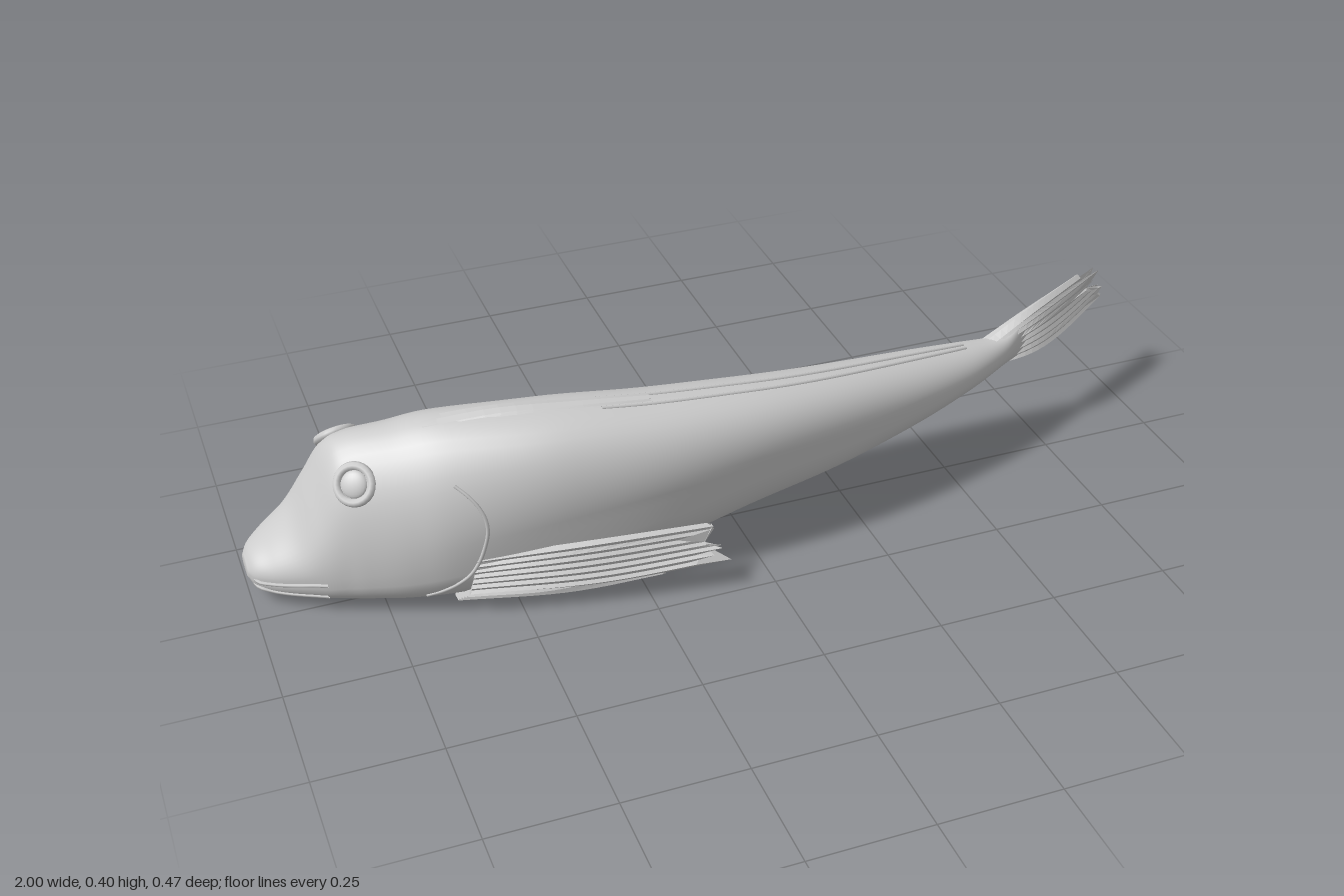
import * as THREE from 'three';

const V = (x, y, z) => new THREE.Vector3(x, y, z);
const smooth = new THREE.MeshStandardMaterial({ color: 0xcccccc, side: THREE.DoubleSide });
const faceted = new THREE.MeshStandardMaterial({ color: 0xcccccc, flatShading: true, side: THREE.DoubleSide });

// body stations: x, bottom, top, right edge z, left edge z, height fraction of the widest line
const stations = [
  [-1.0, 0.05, 0.08, -0.14, -0.08, 0.5], [-0.985, 0.028, 0.1, -0.172, -0.055, 0.5],
  [-0.95, 0.014, 0.125, -0.204, -0.025, 0.5], [-0.9, 0.009, 0.17, -0.225, 0.01, 0.45],
  [-0.86, 0.008, 0.245, -0.226, 0.035, 0.34], [-0.82, 0.007, 0.318, -0.222, 0.055, 0.29],
  [-0.78, 0.007, 0.345, -0.218, 0.075, 0.29], [-0.7, 0.006, 0.365, -0.205, 0.11, 0.32],
  [-0.6, 0.006, 0.388, -0.19, 0.14, 0.37], [-0.4, 0.01, 0.395, -0.155, 0.17, 0.45],
  [-0.2, 0.034, 0.382, -0.12, 0.18, 0.5], [0.0, 0.078, 0.365, -0.102, 0.165, 0.5],
  [0.2, 0.11, 0.338, -0.097, 0.13, 0.5], [0.4, 0.15, 0.305, -0.1, 0.075, 0.5],
  [0.55, 0.182, 0.28, -0.1, 0.018, 0.5], [0.65, 0.2, 0.268, -0.098, -0.035, 0.5],
  [0.72, 0.205, 0.285, -0.098, -0.076, 0.5], [0.8, 0.215, 0.28, -0.133, -0.12, 0.5],
];
const spline = (pts) => new THREE.CatmullRomCurve3(pts, false, 'catmullrom', 0.5);
const heights = spline(stations.map((s) => V(s[0], s[1], s[2])));
const widths = spline(stations.map((s) => V(s[5], s[3], s[4])));
const { lerp, smoothstep } = THREE.MathUtils;

// point on the skin; angle 0 = left flank, PI/2 = back, PI = right flank
function section(t, angle) {
  const { x, y: yb, z: yt } = heights.getPoint(t);
  const { x: k, y: z0, z: z1 } = widths.getPoint(t);
  const c = Math.cos(angle), s = Math.sin(angle);
  const ym = yb + k * (yt - yb);
  const lean = 0.04 * smoothstep(x, -0.8, -0.4) * (1 - smoothstep(x, 0, 0.6));
  // flat belly in front, rounder toward the tail; head narrows upward
  const belly = lerp(0.62, 0.9, smoothstep(x, -0.4, 0.1));
  const y = s > 0 ? ym + (yt - ym) * s : ym - (ym - yb) * Math.pow(-s, belly);
  const taper = s > 0 ? lerp(1.08, 0.92, smoothstep(x, -0.75, -0.4)) : 0.9;
  const across = Math.sign(c) * Math.pow(Math.abs(c), taper);
  return V(x, y, (z0 + z1) / 2 + ((z1 - z0) / 2) * across + lean * (s > 0 ? s : 0.3 * s));
}

// skin point looked up by x instead of spline parameter
function skin(x, angle) {
  let a = 0, b = 1;
  for (let i = 0; i < 24; i++) {
    const m = (a + b) / 2;
    if (heights.getPoint(m).x < x) a = m; else b = m;
  }
  return section(a, angle);
}

function skinNormal(x, a) {
  const dx = skin(x + 0.02, a).sub(skin(x - 0.02, a));
  const da = skin(x, a + 0.05).sub(skin(x, a - 0.05));
  return dx.cross(da).normalize();
}

// closed tube-like surface from loops of points f(u, v), capped at both ends
function loft(f, nu, nv) {
  const pos = [], idx = [];
  for (let i = 0; i <= nu; i++) {
    for (let j = 0; j < nv; j++) pos.push(...f(i / nu, j / nv).toArray());
  }
  for (let i = 0; i < nu; i++) {
    for (let j = 0; j < nv; j++) {
      const k = (j + 1) % nv, a = i * nv, b = a + nv;
      idx.push(a + j, b + j, b + k, a + j, b + k, a + k);
    }
  }
  for (const [row, flip] of [[0, true], [nu, false]]) {
    const mid = V(0, 0, 0), c = pos.length / 3;
    for (let j = 0; j < nv; j++) mid.add(f(row / nu, j / nv));
    pos.push(...mid.divideScalar(nv).toArray());
    for (let j = 0; j < nv; j++) {
      const p = row * nv + j, q = row * nv + ((j + 1) % nv);
      idx.push(...(flip ? [c, p, q] : [c, q, p]));
    }
  }
  const g = new THREE.BufferGeometry();
  g.setAttribute('position', new THREE.Float32BufferAttribute(pos, 3));
  g.setIndex(idx);
  g.computeVertexNormals();
  return g;
}

function seeded(seed) {
  return () => ((seed = (seed * 16807) % 2147483647) / 2147483647);
}

// ribbed, ragged-ended fin between a lower and an upper edge curve
function finGeometry(lower, upper, out, thick, rays, ragged, seed) {
  const lo = spline(lower.map((p) => V(...p))), hi = spline(upper.map((p) => V(...p)));
  const rnd = seeded(seed), half = rays * 2;
  const reach = Array.from({ length: half + 1 }, () => 1 - ragged * rnd());
  return loft((u, v) => {
    const j = Math.round(v * 2 * half), n = j <= half ? j : 2 * half - j;
    const w = n / half, t = u * reach[n];
    const p = lo.getPoint(t).lerp(hi.getPoint(t), w);
    const rib = n === 0 || n === half ? 0 : n % 2 ? 1 : 0.6;
    return p.addScaledVector(out, (j <= half ? 1 : -1) * thick * rib * (1 - 0.5 * u));
  }, 14, half * 2);
}

export function createModel() {
  const model = new THREE.Group();
  const add = (name, geometry, material = smooth) => {
    const mesh = new THREE.Mesh(geometry, material);
    mesh.name = name;
    model.add(mesh);
  };
  const ridge = (name, pts, r) => add(name, new THREE.TubeGeometry(new THREE.CatmullRomCurve3(pts), 40, r, 6));
  const range = (n, f) => Array.from({ length: n + 1 }, (_, i) => f(i / n));

  add('body', loft((u, v) => section(u, v * Math.PI * 2), 110, 48));

  // lips running round the snout
  for (const [name, lift] of [['upperLip', -0.05], ['lowerLip', -0.4]]) {
    ridge(name, [
      ...range(5, (t) => skin(-0.86 - 0.125 * t, lift)),
      ...range(5, (t) => skin(-0.985 + 0.125 * t, Math.PI - lift)),
    ], 0.004);
  }

  // eyes, gill covers and back ridges on both sides
  for (const [side, mirror, eyeAngle] of [['left', (a) => a, 0.88], ['right', (a) => Math.PI - a, Math.PI - 1]]) {
    const n = skinNormal(-0.785, eyeAngle);
    const eye = new THREE.Group();
    eye.name = side + 'Eye';
    const rim = new THREE.Mesh(new THREE.TorusGeometry(0.036, 0.009, 8, 24), smooth);
    const ball = new THREE.Mesh(new THREE.SphereGeometry(0.028, 20, 12), smooth);
    ball.scale.z = 0.35;
    rim.name = 'eyeRim';
    ball.name = 'eyeball';
    eye.add(rim, ball);
    eye.position.copy(skin(-0.785, eyeAngle)).addScaledVector(n, -0.003);
    eye.quaternion.setFromUnitVectors(V(0, 0, 1), n);
    model.add(eye);

    ridge(side + 'GillCover', range(10, (t) =>
      skin(-0.68 + 0.12 * Math.sin(t * Math.PI * 0.8), mirror(-0.5 + 1.2 * t))), 0.004);
    ridge(side + 'DorsalRidge', range(16, (t) => skin(-0.3 + 0.85 * t, mirror(Math.PI / 2 - 0.1))), 0.004);
  }

  // folded dorsal fin lying along the back
  const along = [-0.64, -0.5, -0.35, -0.19];
  const base = along.map((x) => skin(x, Math.PI / 2).add(V(0, -0.012, 0)).toArray());
  const crest = base.map(([x, y, z], i) => [x, y + [0.01, 0.025, 0.024, 0.024][i], z + 0.006]);
  add('dorsalFin', finGeometry(base, crest, V(0, 0, 1), 0.02, 4, 0.05, 11), faceted);

  // pectoral fins folded back along the flanks
  add('leftPectoralFin', finGeometry(
    [[-0.6, 0.05, 0.125], [-0.35, 0.05, 0.185], [-0.09, 0.075, 0.235]],
    [[-0.58, 0.14, 0.13], [-0.35, 0.155, 0.18], [-0.1, 0.145, 0.195]],
    V(-0.2, 0.25, 0.95).normalize(), 0.017, 7, 0.2, 5), faceted);
  add('rightPectoralFin', finGeometry(
    [[-0.6, 0.06, -0.178], [-0.3, 0.085, -0.158], [-0.01, 0.1, -0.11]],
    [[-0.58, 0.19, -0.16], [-0.3, 0.2, -0.145], [0.0, 0.185, -0.11]],
    V(0, 0, 1), 0.016, 7, 0.12, 23), faceted);

  // pelvic fins under the belly
  add('leftPelvicFin', finGeometry(
    [[-0.62, 0.02, 0.08], [-0.4, 0.012, 0.13], [-0.2, 0.01, 0.15]],
    [[-0.6, 0.05, 0.115], [-0.4, 0.05, 0.16], [-0.11, 0.065, 0.14]],
    V(0, -0.5, 0.87), 0.013, 5, 0.1, 41), faceted);
  add('rightPelvicFin', finGeometry(
    [[-0.62, 0.016, -0.06], [-0.4, 0.014, -0.04], [-0.22, 0.022, -0.02]],
    [[-0.6, 0.018, -0.13], [-0.4, 0.02, -0.1], [-0.2, 0.034, -0.07]],
    V(0, 1, 0), 0.01, 5, 0.1, 67), faceted);

  // frayed tail fin, bent toward the right
  add('tailFin', finGeometry(
    [[0.62, 0.205, -0.065], [0.73, 0.195, -0.088], [0.84, 0.19, -0.145], [1.0, 0.215, -0.238]],
    [[0.62, 0.268, -0.065], [0.72, 0.31, -0.085], [0.83, 0.322, -0.135], [0.98, 0.325, -0.215]],
    V(0.45, 0, 0.89), 0.016, 8, 0.26, 92), faceted);

  return model;
}
